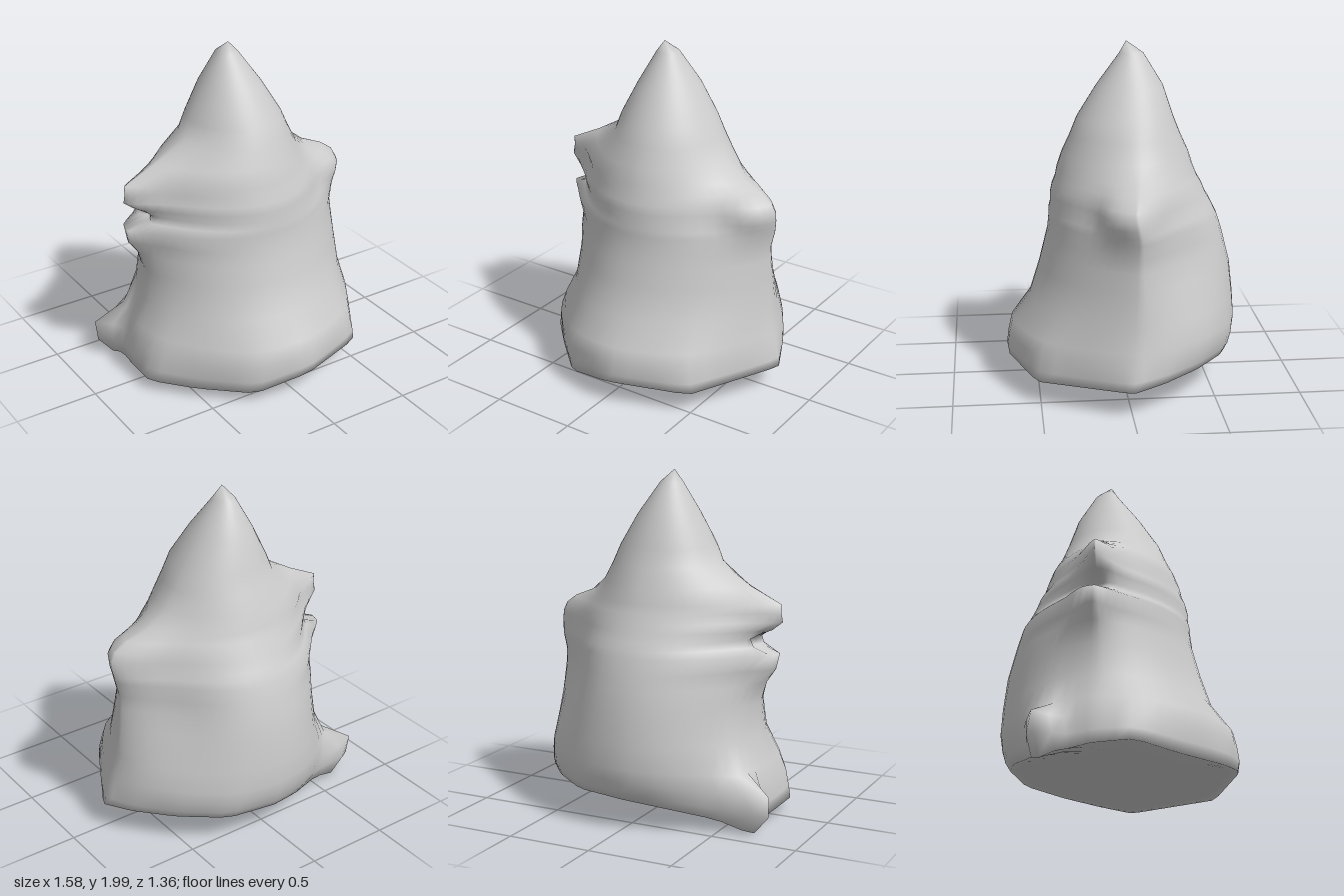
import * as THREE from 'three';

const SEG = 56;

// y, right x, left x, front z, back z, right roundness, left roundness
const RINGS = [
  [0.14, 0.71, 0.78, 0.67, -0.62, 1.75, 1.8],
  [0.20, 0.71, 0.775, 0.68, -0.65, 1.75, 1.8],
  [0.28, 0.70, 0.76, 0.67, -0.67, 1.8, 1.8],
  [0.37, 0.67, 0.74, 0.65, -0.68, 1.8, 1.8],
  [0.51, 0.61, 0.71, 0.54, -0.67, 1.8, 1.75],
  [0.70, 0.60, 0.70, 0.48, -0.65, 1.7, 1.65],
  [0.82, 0.62, 0.69, 0.45, -0.62, 1.6, 1.6],
  [0.90, 0.62, 0.68, 0.43, -0.60, 1.55, 1.55],
  [0.99, 0.67, 0.67, 0.42, -0.57, 1.5, 1.5],
  [1.03, 0.61, 0.65, 0.42, -0.55, 1.5, 1.45],
  [1.07, 0.60, 0.63, 0.41, -0.53, 1.45, 1.4],
  [1.12, 0.63, 0.61, 0.41, -0.50, 1.4, 1.4],
  [1.17, 0.64, 0.59, 0.40, -0.48, 1.35, 1.4],
  [1.22, 0.61, 0.55, 0.38, -0.45, 1.3, 1.45],
  [1.27, 0.63, 0.47, 0.37, -0.43, 1.3, 1.6],
  [1.36, 0.52, 0.38, 0.34, -0.40, 1.45, 1.85],
  [1.47, 0.34, 0.32, 0.29, -0.35, 1.8, 1.9],
  [1.57, 0.29, 0.27, 0.25, -0.31, 2, 2],
  [1.75, 0.20, 0.16, 0.135, -0.25, 2, 2],
  [1.93, 0.10, 0.03, 0.00, -0.14, 2, 2],
];

// Corners of the uneven hem, from the left side round by the front
const HEM = [
  [0.79, 0.17, 0.0], [0.5, 0.145, 0.52], [0.05, 0.16, 0.68], [-0.27, 0.09, 0.6],
  [-0.52, 0.08, 0.36], [-0.72, 0.09, 0.15], [-0.71, 0.08, -0.08], [-0.67, 0.05, -0.26],
  [-0.67, 0.0, -0.37], [-0.48, 0.09, -0.43], [-0.2, 0.16, -0.57], [0.0, 0.19, -0.62],
  [0.3, 0.2, -0.58], [0.54, 0.2, -0.39], [0.71, 0.19, -0.18],
].map((p) => new THREE.Vector3(...p));

const angleOf = (v) => (Math.atan2(v.z, v.x) + Math.PI * 2) % (Math.PI * 2);

// Point of the hem at the same angle as v
function hemPoint(v) {
  const t = angleOf(v);
  let i = HEM.length - 1;
  while (angleOf(HEM[i]) > t) i--;
  const a = angleOf(HEM[i]);
  const b = i + 1 < HEM.length ? angleOf(HEM[i + 1]) : Math.PI * 2;
  return HEM[i].clone().lerp(HEM[(i + 1) % HEM.length], (t - a) / (b - a));
}

// Soft pushes that shape the arms and tail: root, push, squared reach
const PUSHES = [
  [[-0.62, 1.22, -0.06], [-0.11, 0, 0], 0.014], // right arm, upper point
  [[-0.62, 0.95, -0.1], [-0.11, 0, 0], 0.01], // right arm, lower point
  [[-0.61, 1.045, -0.08], [0.12, 0, 0], 0.004], // notch between the two
  [[0.6, 1.13, -0.07], [0.1, 0, 0], 0.025], // left arm, a round knob
  [[0.55, 1.13, 0.04], [0.03, 0, 0.07], 0.015], // front of the knob
  [[0.5, 0.8, -0.35], [-0.05, 0, 0.05], 0.07], // hollow behind the left arm
  [[-0.66, 0.17, -0.39], [-0.22, 0.04, -0.02], 0.012], // tail
].map(([root, push, reach]) => [new THREE.Vector3(...root), new THREE.Vector3(...push), reach]);

// Point on a ring: an oval with its own extent on each of four sides,
// round at front and back, narrowing to the arms where roundness is below 2
function ovalPoint([y, right, left, front, back, roundRight, roundLeft], j) {
  const t = (j / SEG) * Math.PI * 2, c = Math.cos(t), s = Math.sin(t);
  const cx = y > 1.6 ? -0.04 * (y - 1.6) / 0.4 : 0;
  const cz = -0.06;
  const power = 4 / THREE.MathUtils.lerp(roundRight, roundLeft, (1 + c) / 2) - 1;
  return new THREE.Vector3(
    cx + (c < 0 ? right + cx : left - cx) * c,
    y,
    cz + (s > 0 ? front - cz : back - cz) * Math.abs(s) ** power,
  );
}

// Ring point drawn towards the hem low down, then pushed out into arms and tail
function skinPoint(ring, j) {
  const v = ovalPoint(ring, j);
  const base = ovalPoint(RINGS[0], j);
  const w = Math.max(0, 1 - (ring[0] - 0.14) / 0.4) ** 1.5;
  v.addScaledVector(hemPoint(base).sub(base), w);
  const out = v.clone();
  for (const [root, push, reach] of PUSHES) {
    out.addScaledVector(push, Math.exp(-v.distanceToSquared(root) / reach));
  }
  out.y = Math.max(0, out.y);
  return out;
}

function bodyGeometry() {
  const points = [];
  const rows = RINGS.length + 5;
  const addRow = (f) => { for (let j = 0; j < SEG; j++) points.push(f(j)); };

  // shallow hollow underside, from its middle out to the hem
  for (const [k, lift] of [[0, 0.09], [0.35, 0.08], [0.7, 0.04], [0.92, 0.01]]) {
    addRow((j) => {
      const v = skinPoint(RINGS[0], j);
      return new THREE.Vector3(v.x * k, 0.14 + (v.y - 0.14) * k * k + lift, v.z * k);
    });
  }
  // outer skin and peak
  for (const ring of RINGS) addRow((j) => skinPoint(ring, j));
  addRow(() => new THREE.Vector3(-0.04, 2, -0.04));

  const id = (i, j) => i * SEG + (i === 0 || i === rows - 1 ? 0 : j % SEG);
  const index = [];
  for (let i = 0; i < rows - 1; i++) {
    for (let j = 0; j < SEG; j++) {
      const a = id(i, j), b = id(i + 1, j), c = id(i, j + 1), d = id(i + 1, j + 1);
      if (a !== c) index.push(a, b, c);
      if (b !== d) index.push(b, d, c);
    }
  }
  const geometry = new THREE.BufferGeometry().setFromPoints(points);
  geometry.setIndex(index);
  geometry.computeVertexNormals();
  return geometry;
}

export function createModel() {
  const group = new THREE.Group();
  group.name = 'drapedFigure';
  const material = new THREE.MeshStandardMaterial({ color: 0xcccccc });
  const body = new THREE.Mesh(bodyGeometry(), material);
  body.name = 'bodyWithArmsAndTail';
  group.add(body);
  return group;
}
